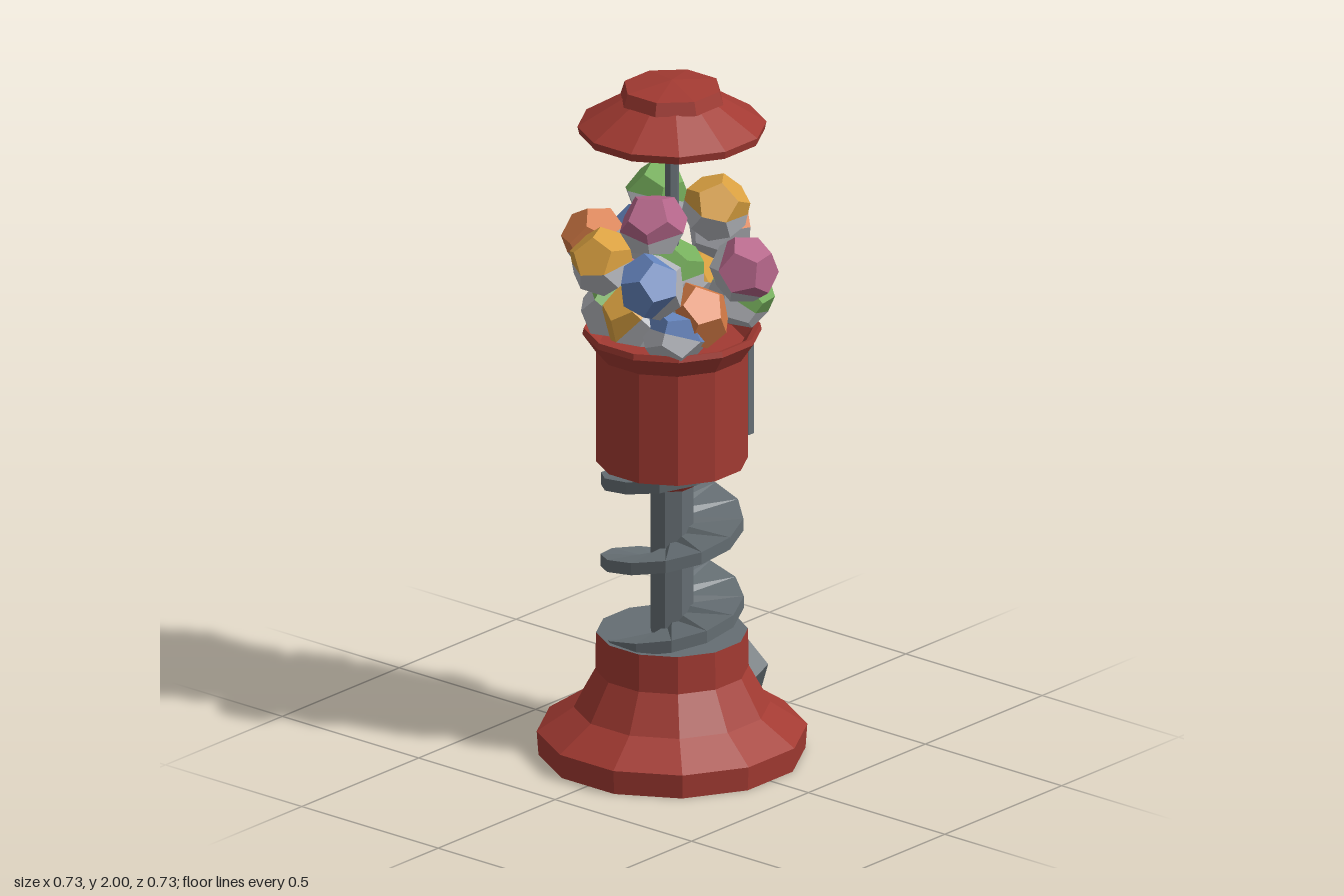
import * as THREE from 'three';
import { ConvexGeometry } from 'three/addons/geometries/ConvexGeometry.js';

const paint = (name, color) => {
  const m = new THREE.MeshStandardMaterial({ color });
  m.name = name;
  return m;
};
const red = paint('red', 0xa23a32);
const grey = paint('metal grey', 0x656e73);
const shell = paint('capsule white', 0xb4b6bc);
const yellow = paint('yellow', 0xd9a040);
const orange = paint('orange', 0xd47a45);
const blue = paint('blue', 0x6484bd);
const green = paint('green', 0x76ae5c);
const pink = paint('pink', 0xb5668a);

export function createModel() {
  const model = new THREE.Group();

  // Adds a faceted mesh
  function add(name, geometry, material, parent = model) {
    const g = geometry.index ? geometry.toNonIndexed() : geometry;
    g.computeVertexNormals();
    const mesh = new THREE.Mesh(g, material);
    mesh.name = name;
    parent.add(mesh);
    return mesh;
  }

  // Turned part with flat sides facing front and back; profile is [half width, y]
  function turned(name, profile, material, sides = 12) {
    const k = 1 / Math.cos(Math.PI / sides);
    const points = profile.map(([r, y]) => new THREE.Vector2(r * k, y));
    return add(name, new THREE.LatheGeometry(points, sides, Math.PI / sides), material);
  }

  // Base with metal top and underside
  turned('base', [[0.36, 0], [0.365, 0.07], [0.265, 0.14], [0.207, 0.25], [0.205, 0.36]], red);
  turned('baseUnderside', [[0, 0], [0.36, 0]], grey);
  turned('baseTop', [[0.205, 0.36], [0, 0.36]], grey);

  // Central column
  turned('column', [[0.058, 0.35], [0.058, 0.88]], grey, 8);

  // Spiral slide: a rectangular section swept upwards round the column
  const steps = 31, verts = [], faces = [];
  for (let i = 0; i <= steps; i++) {
    const t = -1.3 + (2.55 * i) / steps;
    const a = t * Math.PI * 2, y = 0.6 + 0.24 * t;
    for (const [r, dy] of [[0.03, -0.018], [0.2, -0.018], [0.2, 0.018], [0.03, 0.018]]) {
      verts.push(r * Math.sin(a), y + dy, r * Math.cos(a));
    }
    if (i === steps) break;
    for (let k = 0; k < 4; k++) {
      const c = i * 4 + k, d = i * 4 + ((k + 1) % 4);
      faces.push(c, c + 4, d, c + 4, d + 4, d);
    }
  }
  const spiral = new THREE.BufferGeometry();
  spiral.setAttribute('position', new THREE.Float32BufferAttribute(verts, 3));
  spiral.setIndex(faces);
  add('spiralSlide', spiral, grey);

  // Body with funnel below and a flared open rim
  turned('funnel', [[0, 0.79], [0.055, 0.79], [0.115, 0.875]], red, 8);
  turned('body', [
    [0, 0.87], [0.205, 0.87], [0.205, 1.195], [0.242, 1.25], [0.238, 1.267],
    [0.222, 1.262], [0.195, 1.225], [0, 1.225],
  ], red);

  // Hexagon outline, points to the sides
  function hexagon(Type, r) {
    const path = new Type();
    path.setFromPoints([0, 1, 2, 3, 4, 5].map(i =>
      new THREE.Vector2(r * Math.cos(i * Math.PI / 3), r * Math.sin(i * Math.PI / 3))));
    return path;
  }

  // Coin plate on the back, with recessed dial and a handle
  const coin = new THREE.Group();
  coin.name = 'coinMechanism';
  coin.position.set(0, 1.05, -0.2);
  coin.rotation.y = Math.PI;
  model.add(coin);
  const plate = new THREE.Shape();
  plate.moveTo(-0.1, -0.13).lineTo(0.1, -0.13).lineTo(0.1, 0.13).lineTo(-0.1, 0.13);
  const dial = hexagon(THREE.Path, 0.048);
  dial.curves.forEach(c => { c.v1.y += 0.055; c.v2.y += 0.055; });
  plate.holes.push(dial);
  add('coinPlate', new THREE.ExtrudeGeometry(plate, {
    depth: 0.022, bevelEnabled: true, bevelThickness: 0.01, bevelSize: 0.01, bevelSegments: 1,
  }), grey, coin);
  const dialBack = add('dialBack', new THREE.CircleGeometry(0.06, 6), grey, coin);
  dialBack.position.set(0, 0.055, 0.012);
  const handle = add('coinHandle', new THREE.CylinderGeometry(0.07, 0.07, 0.05, 6), grey, coin);
  handle.rotation.x = Math.PI / 2;
  handle.scale.z = 0.42;
  handle.position.set(0, -0.065, 0.037);

  // Prize chute on the back of the base
  const chute = new THREE.Group();
  chute.name = 'prizeChute';
  chute.position.set(0, 0.215, -0.262);
  chute.rotation.set(0.42, Math.PI, 0, 'XYZ');
  model.add(chute);
  const ring = hexagon(THREE.Shape, 0.128);
  ring.holes.push(hexagon(THREE.Path, 0.083));
  const tube = add('chuteRing', new THREE.ExtrudeGeometry(ring, { depth: 0.1, bevelEnabled: false }), grey, chute);
  tube.position.z = -0.1;
  const back = add('chuteBack', new THREE.CircleGeometry(0.09, 6), grey, chute);
  back.position.z = -0.045;

  // Half of a twelve-faced capsule, cut through its middle
  const p = (1 + Math.sqrt(5)) / 2, q = 1 / p, half = [];
  for (const s of [-1, 1]) {
    half.push([s * q, p, 0], [0, q, s * p], [0, 0, s * p]);
    for (const t of [-1, 1]) half.push([s, 1, t], [s * p, 0, t * q]);
  }
  const size = 0.097 / Math.sqrt(3);
  const halfGeometry = new ConvexGeometry(half.map(v => new THREE.Vector3(...v).multiplyScalar(size)));

  // Capsules: position, direction of the coloured half, colour
  const capsules = [
    [[-0.22, 1.49, 0.07], [-0.5, 0.9, 0.2], orange],
    [[0.23, 1.48, -0.04], [1, 0.7, 0], pink],
    [[0.09, 1.46, 0.19], [-0.1, 0.4, 1], blue],
    [[-0.11, 1.48, 0.17], [-0.1, 1, 0.15], yellow],
    [[0.01, 1.595, 0.09], [0.1, 1, 0.3], pink],
    [[0.11, 1.63, -0.06], [0.2, 1, -0.1], yellow],
    [[-0.11, 1.61, -0.07], [0, 1, -0.3], green],
    [[-0.16, 1.34, 0.03], [-0.6, 0.6, 0.4], pink],
    [[0, 1.34, 0.16], [-0.5, 0.6, 0.4], yellow],
    [[0.15, 1.355, 0.07], [0.9, 0.5, -0.1], orange],
    [[0.14, 1.355, -0.13], [0.4, 0.8, -0.4], green],
    [[0.03, 1.52, -0.17], [-0.2, 1, -0.15], orange],
    [[-0.19, 1.46, -0.1], [-0.5, 0.8, -0.3], blue],
    [[-0.07, 1.345, -0.15], [-0.1, 0.9, -0.4], yellow],
    [[-0.1, 1.33, 0.13], [0.5, 1, -0.6], green],
    [[0.12, 1.31, 0.13], [0, 1, -0.4], blue],
    [[0, 1.43, 0], [0, 1, 0], green],
  ];
  const up = new THREE.Vector3(0, 1, 0);
  capsules.forEach(([position, axis, color], i) => {
    const capsule = new THREE.Group();
    capsule.name = 'capsule' + (i + 1);
    capsule.position.set(...position);
    capsule.quaternion.setFromUnitVectors(up, new THREE.Vector3(...axis).normalize());
    capsule.rotateY(i * 1.7);
    add('capsuleTop', halfGeometry, color, capsule);
    add('capsuleBottom', halfGeometry, shell, capsule).rotation.x = Math.PI;
    model.add(capsule);
  });

  // Rod and roof
  turned('roofRod', [[0.018, 1.22], [0.018, 1.93]], grey, 6);
  turned('roof', [[0, 1.925], [0.235, 1.845], [0.25, 1.845], [0.255, 1.868], [0.135, 1.945], [0, 1.945]], red);
  turned('roofCap', [[0.139, 1.942], [0.128, 1.98], [0, 2]], red, 8);

  return model;
}
